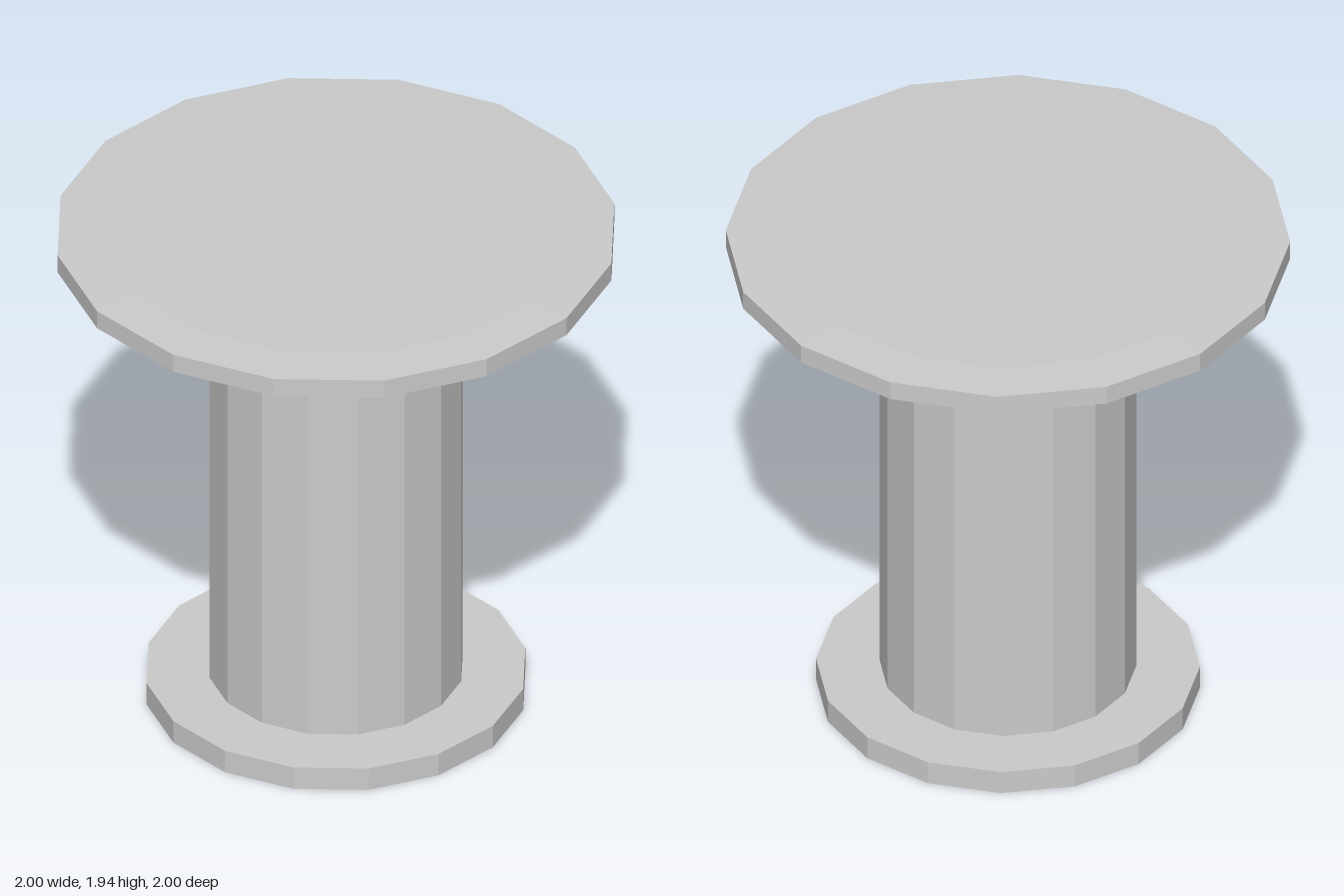
import * as THREE from 'three';

const SIDES = 16;

export function createModel() {
  const group = new THREE.Group();
  group.name = 'pedestalTable';
  const material = new THREE.MeshStandardMaterial({ color: 0xcccccc, flatShading: true });

  // Sixteen-sided turned part from a bottom-to-top [radius, y] profile
  const turned = (name, profile) => {
    const points = profile.map(([r, y]) => new THREE.Vector2(r, y));
    const mesh = new THREE.Mesh(new THREE.LatheGeometry(points, SIDES), material);
    mesh.name = name;
    group.add(mesh);
  };

  // Foot disc
  turned('base', [[0, 0], [0.68, 0], [0.68, 0.09], [0, 0.09]]);
  // Straight post
  turned('column', [[0.455, 0.09], [0.455, 1.622]]);
  // Flared support below the top
  turned('collar', [[0.455, 1.622], [0.632, 1.777], [0.647, 1.858]]);
  // Table top, very slightly raised inside the rim
  turned('tableTop', [[0, 1.858], [1, 1.858], [1, 1.93], [0.83, 1.936], [0, 1.936]]);

  return group;
}
